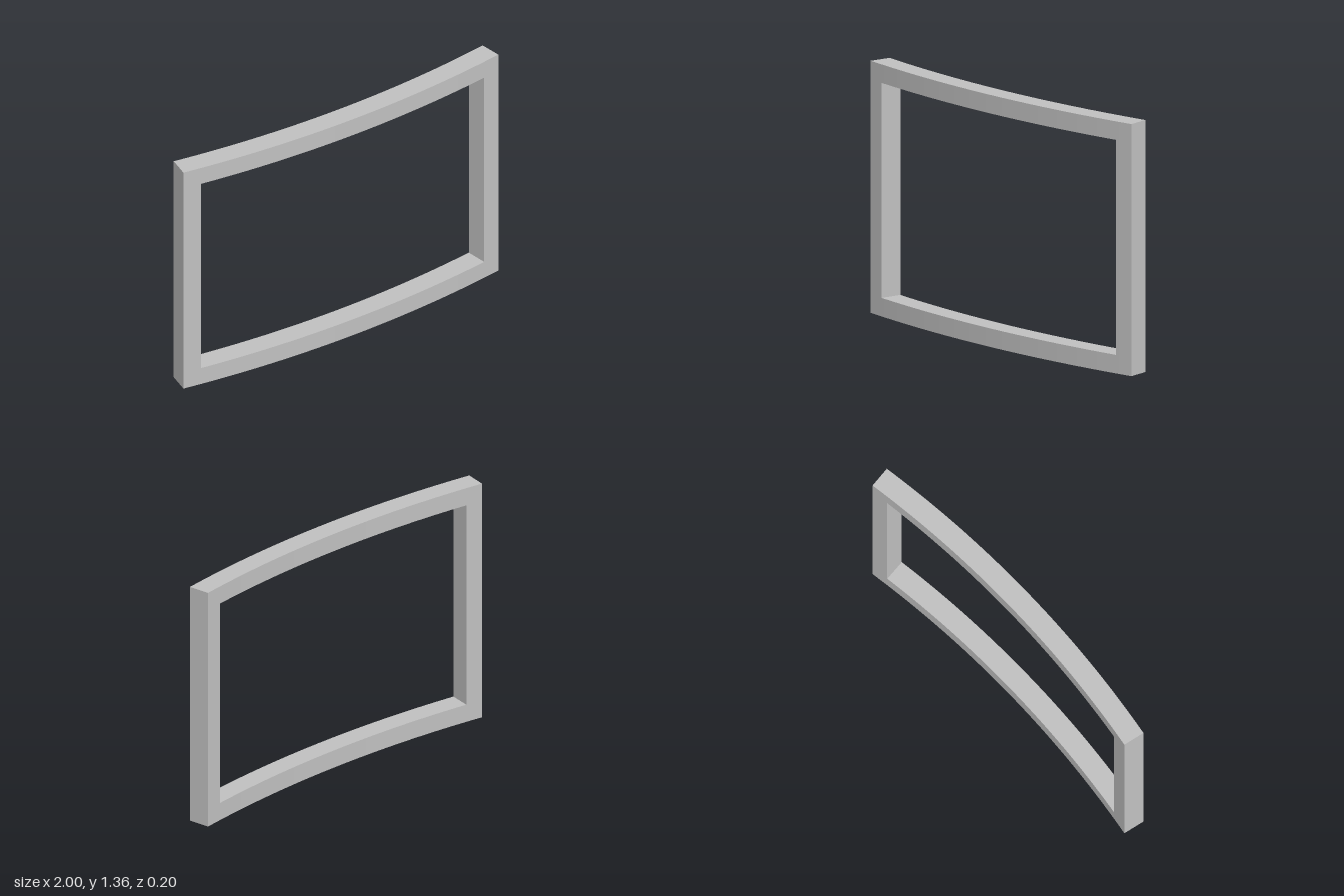
import * as THREE from 'three';

const R = 6.29;          // radius of the convex front face
const THICK = 0.12;      // radial thickness
const FRONT = 0.1;       // z of the front face at the middle

// Columns are angles along the arc, rows are heights
const outer = Math.asin(1 / R), inner = Math.asin(0.9 / R);
const cols = [-outer, -inner, inner, outer];
const rows = [0, 0.1, 1.26, 1.36];
const names = [
  ['bottomRightCorner', 'bottomRail', 'bottomLeftCorner'],
  ['rightStile', null, 'leftStile'],
  ['topRightCorner', 'topRail', 'topLeftCorner'],
];
const filled = (r, c) => Boolean(names[r]?.[c]);

// A box wrapped around the arc, keeping only the faces that are exposed
function bentBlock(r, c) {
  const [a0, a1, y0, y1] = [cols[c], cols[c + 1], rows[r], rows[r + 1]];
  const geo = new THREE.BoxGeometry(a1 - a0, y1 - y0, THICK, c === 1 ? 40 : 4, 1, 1);
  geo.translate((a0 + a1) / 2, (y0 + y1) / 2, -THICK / 2);

  const keep = [!filled(r, c + 1), !filled(r, c - 1), !filled(r + 1, c), !filled(r - 1, c), true, true];
  const index = Array.from(geo.index.array);
  geo.setIndex(geo.groups.flatMap((g, i) => (keep[i] ? index.slice(g.start, g.start + g.count) : [])));
  geo.clearGroups();

  // Bend positions and normals around the vertical axis
  const p = geo.attributes.position, n = geo.attributes.normal;
  for (let i = 0; i < p.count; i++) {
    const s = Math.sin(p.getX(i)), k = Math.cos(p.getX(i)), rad = R + p.getZ(i);
    p.setXYZ(i, rad * s, p.getY(i), FRONT - R + rad * k);
    const nx = n.getX(i), nz = n.getZ(i);
    n.setXYZ(i, nx * k + nz * s, n.getY(i), nz * k - nx * s);
  }
  return geo;
}

export function createModel() {
  const model = new THREE.Group();
  model.name = 'curvedFrame';
  const grey = new THREE.MeshStandardMaterial({ color: 0xc0c0c0 });
  grey.name = 'light grey';

  // Rails, stiles and corners around the open centre
  names.forEach((row, r) => row.forEach((name, c) => {
    if (!name) return;
    const mesh = new THREE.Mesh(bentBlock(r, c), grey);
    mesh.name = name;
    model.add(mesh);
  }));
  return model;
}
